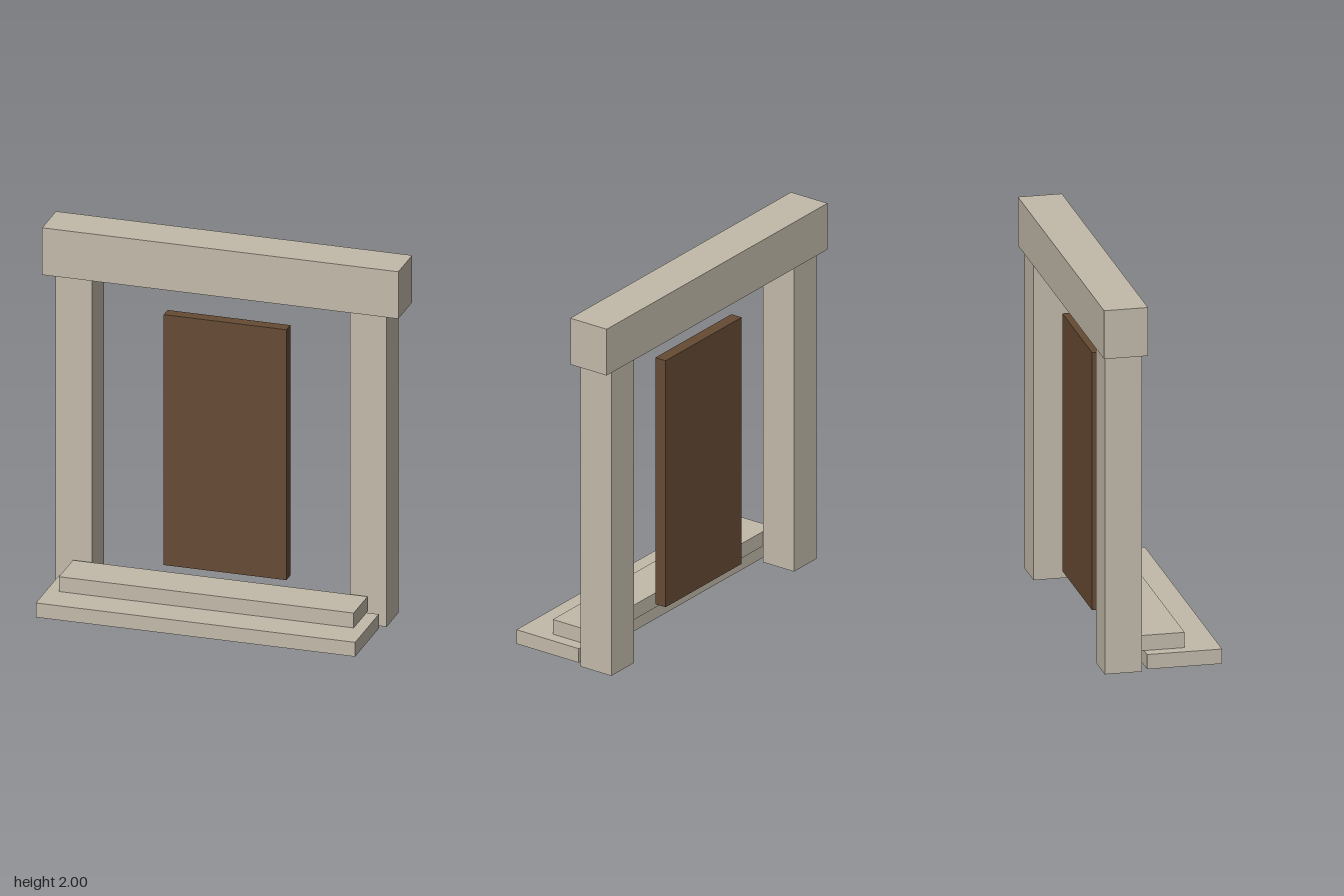
import * as THREE from 'three';

export function createModel() {
  const model = new THREE.Group();
  model.name = 'doorway';

  const stone = new THREE.MeshStandardMaterial({ color: 0xc2baaa });
  stone.name = 'pale stone';
  const wood = new THREE.MeshStandardMaterial({ color: 0x664a34 });
  wood.name = 'dark wood';

  // Box from its width (centred on x = cx) and its y and z extents
  function addBlock(name, material, width, [y0, y1], [z0, z1], cx = 0) {
    const mesh = new THREE.Mesh(new THREE.BoxGeometry(width, y1 - y0, z1 - z0), material);
    mesh.position.set(cx, (y0 + y1) / 2, (z0 + z1) / 2);
    mesh.name = name;
    model.add(mesh);
  }

  // Two steps in front of the doorway
  addBlock('lowerStep', stone, 1.732, [0, 0.08], [-0.073, 0.325]);
  addBlock('upperStep', stone, 1.598, [0.08, 0.163], [-0.092, 0.142]);

  // Posts carrying the lintel
  addBlock('leftPost', stone, 0.198, [0, 1.737], [-0.305, -0.107], 0.799);
  addBlock('rightPost', stone, 0.198, [0, 1.737], [-0.305, -0.107], -0.799);
  addBlock('lintel', stone, 1.932, [1.737, 2], [-0.325, -0.092]);

  // Door slab, level with the top step
  addBlock('door', wood, 0.666, [0.163, 1.563], [-0.239, -0.173]);

  return model;
}
